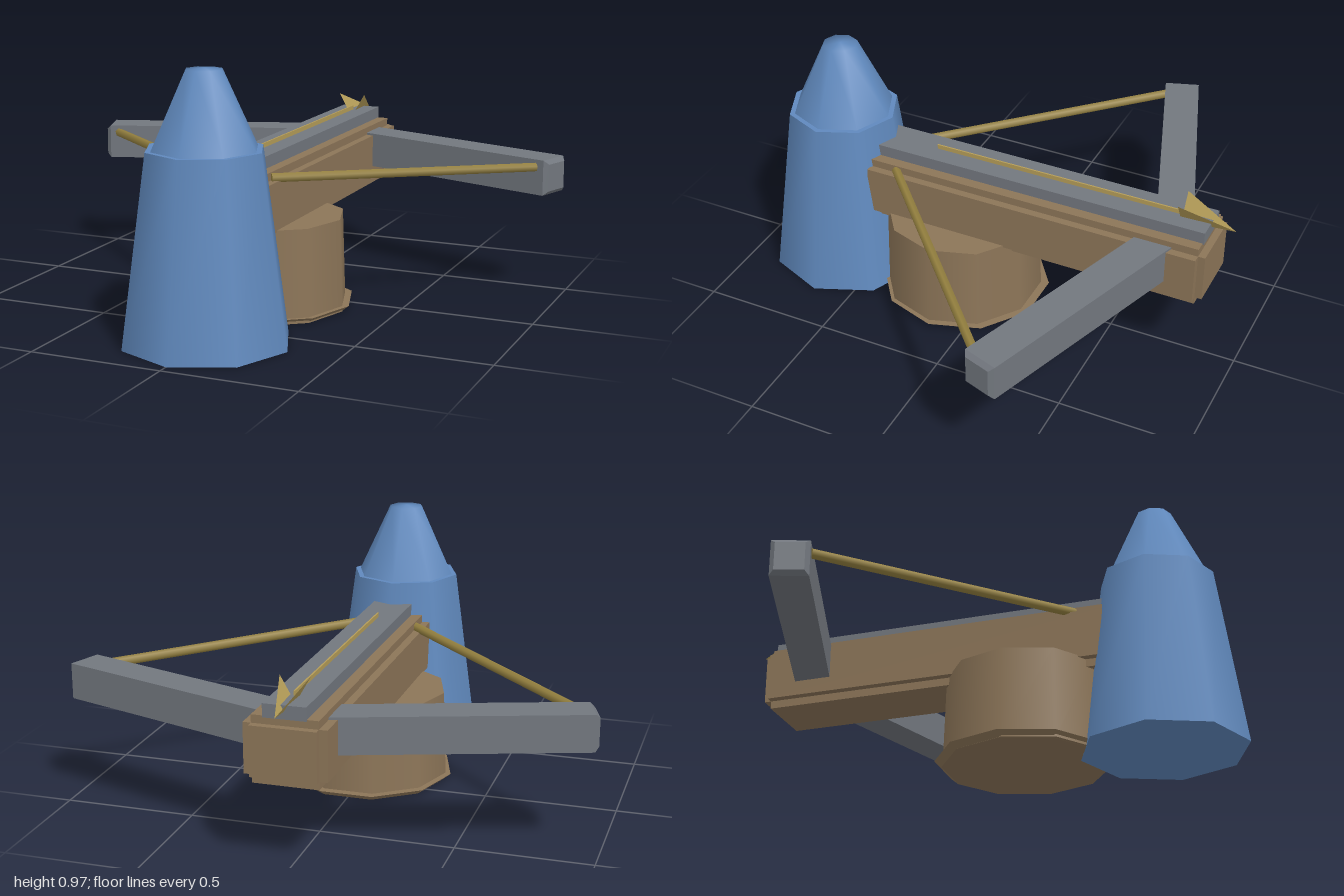
import * as THREE from 'three';

const material = (name, color, extra = {}) =>
  Object.assign(new THREE.MeshStandardMaterial({ color, ...extra }), { name });

export function createModel() {
  const model = new THREE.Group();
  model.name = 'crossbowAndOperator';

  const blue = material('blue cloth', 0x6089bd);
  const brown = material('brown wood', 0x8c7558);
  const grey = material('grey metal', 0x72777e);
  const gold = material('gold tip', 0xb59d58, { side: THREE.DoubleSide });
  const cord = material('olive cord', 0x94803f);

  const add = (name, geometry, mat, x = 0, y = 0, z = 0) => {
    const mesh = new THREE.Mesh(geometry, mat);
    mesh.name = name;
    mesh.position.set(x, y, z);
    model.add(mesh);
    return mesh;
  };
  // Box given by its half width, height range and depth range
  const block = (name, mat, halfX, y0, y1, z0, z1) =>
    add(name, new THREE.BoxGeometry(halfX * 2, y1 - y0, z1 - z0), mat, 0, (y0 + y1) / 2, (z0 + z1) / 2);

  // Operator: tapered eight-sided robe and softly shaded hood
  add('robe', new THREE.CylinderGeometry(0.215, 0.31, 0.69, 8), blue, 0, 0.345, 0.65);
  const hood = [[0.195, 0.69], [0.067, 0.965], [0, 0.97]].map(p => new THREE.Vector2(...p));
  add('hood', new THREE.LatheGeometry(hood, 8), blue, 0, 0, 0.65);

  // Ten-sided pedestal with a thin flared foot
  const turn = Math.PI / 10;
  add('pedestal', new THREE.CylinderGeometry(0.298, 0.31, 0.35, 10), brown, 0, 0.177, 0.135).rotation.y = turn;
  add('pedestalFoot', new THREE.CylinderGeometry(0.332, 0.305, 0.022, 10), brown, 0, 0.012, 0.125).rotation.y = turn;

  // Stock with stepped edges, and the rail on top
  block('stockSides', brown, 0.15, 0.345, 0.53, -0.86, 0.47);
  block('stockCore', brown, 0.12, 0.315, 0.56, -0.86, 0.47);
  block('stockEnd', brown, 0.12, 0.345, 0.53, -0.887, -0.85);
  block('rail', grey, 0.078, 0.555, 0.605, -0.865, 0.48);

  // Chamfered bow arms and the cords running back to the stock
  const bevel = 0.016, armLength = 0.94, half = 0.068;
  const section = new THREE.Shape();
  const h = half - bevel;
  section.moveTo(-h, -h).lineTo(h, -h).lineTo(h, h).lineTo(-h, h).closePath();
  for (const side of [1, -1]) {
    const label = side > 0 ? 'left' : 'right';
    const arm = add(label + 'Arm', new THREE.ExtrudeGeometry(section, {
      depth: armLength - bevel, bevelEnabled: true, bevelThickness: bevel, bevelSize: bevel, bevelSegments: 1,
    }), grey, side * 0.08, 0.47, -0.7);
    arm.rotation.y = side * Math.atan2(0.89, 0.3);

    const from = new THREE.Vector3(side * 0.9, 0.508, -0.355);
    const to = new THREE.Vector3(side * 0.12, 0.54, 0.36);
    const string = add(label + 'Cord', new THREE.CylinderGeometry(0.018, 0.018, from.distanceTo(to), 6), cord);
    string.position.copy(from).lerp(to, 0.5);
    string.quaternion.setFromUnitVectors(new THREE.Vector3(0, 1, 0), to.sub(from).normalize());
  }

  // Bolt: slender shaft and a folded, open-topped head
  block('boltShaft', gold, 0.003, 0.6, 0.622, -0.76, 0.24);
  const tip = [0, 0.59, -0.957], keel = [0, 0.575, -0.75];
  const head = new THREE.BufferGeometry();
  head.setAttribute('position', new THREE.Float32BufferAttribute([
    ...tip, ...keel, -0.055, 0.672, -0.75,
    ...tip, 0.055, 0.672, -0.75, ...keel,
  ], 3));
  head.computeVertexNormals();
  add('boltHead', head, gold);

  return model;
}
